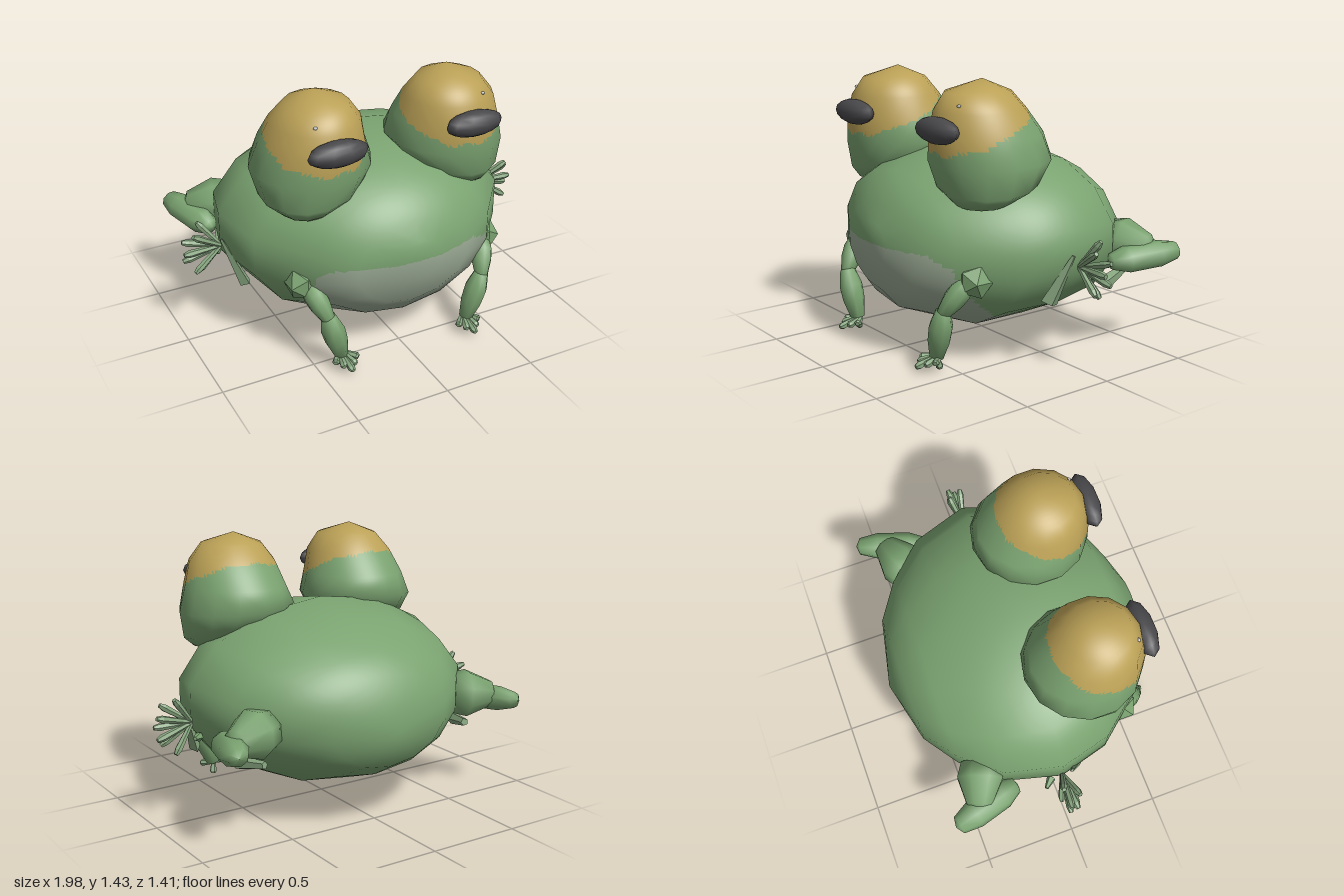
import * as THREE from 'three';
import { mergeVertices, mergeGeometries } from 'three/addons/utils/BufferGeometryUtils.js';

const mat = (color, extra = {}) => new THREE.MeshStandardMaterial({ color, ...extra });
const green = mat(0x7aa270);
const greenFlat = mat(0x7aa270, { flatShading: true });
const toeGreen = mat(0x86a57e, { flatShading: true });
const pale = mat(0x99a893);
const gold = mat(0xbaa056);
const dark = mat(0x48484b);
const shine = mat(0xcccccc);

const V = (x, y, z) => new THREE.Vector3(x, y, z);

function add(parent, name, geometry, material) {
  const mesh = new THREE.Mesh(geometry, material);
  mesh.name = name;
  parent.add(mesh);
  return mesh;
}

// Smooth skin over closed rings; point(ring, sin, cos) places each corner
function loft(rings, sides, point) {
  const pos = [], index = [];
  rings.forEach((ring, i) => {
    for (let j = 0; j < sides; j++) {
      const a = (j / sides) * Math.PI * 2;
      pos.push(...point(ring, Math.sin(a), Math.cos(a)));
      if (i === rings.length - 1) continue;
      const p = i * sides + j, q = i * sides + (j + 1) % sides;
      index.push(p, q, p + sides, q, q + sides, p + sides);
    }
  });
  const geo = new THREE.BufferGeometry();
  geo.setAttribute('position', new THREE.Float32BufferAttribute(pos, 3));
  geo.setIndex(index);
  const merged = mergeVertices(geo, 1e-4);
  merged.computeVertexNormals();
  return merged;
}

// Cut a surface into two colour regions, keeping its silhouette and normals
function splitByRule(geo, k, rule) {
  const flat = geo.toNonIndexed();
  const P = flat.attributes.position, N = flat.attributes.normal;
  const out = [{ p: [], n: [] }, { p: [], n: [] }];
  const mix = (attr, t, u, v) => V(0, 0, 0)
    .addScaledVector(V().fromBufferAttribute(attr, t), 1 - u - v)
    .addScaledVector(V().fromBufferAttribute(attr, t + 1), u)
    .addScaledVector(V().fromBufferAttribute(attr, t + 2), v);
  for (let t = 0; t < P.count; t += 3) {
    const emit = (...corners) => {
      const pts = corners.map(([u, v]) => mix(P, t, u / k, v / k));
      const mid = V(0, 0, 0).add(pts[0]).add(pts[1]).add(pts[2]).divideScalar(3);
      const side = out[rule(mid) ? 0 : 1];
      pts.forEach((p) => side.p.push(p.x, p.y, p.z));
      corners.forEach(([u, v]) => side.n.push(...mix(N, t, u / k, v / k).normalize().toArray()));
    };
    for (let u = 0; u < k; u++) for (let v = 0; u + v < k; v++) {
      emit([u, v], [u + 1, v], [u, v + 1]);
      if (u + v < k - 1) emit([u + 1, v], [u + 1, v + 1], [u, v + 1]);
    }
  }
  return out.map(({ p, n }) => {
    const g = new THREE.BufferGeometry();
    g.setAttribute('position', new THREE.Float32BufferAttribute(p, 3));
    g.setAttribute('normal', new THREE.Float32BufferAttribute(n, 3));
    return g;
  });
}

// Turned limb segment from a to b; profile is [radius, fraction] pairs
function limb(a, b, r, sides, profile, flatten = 1) {
  const dir = b.clone().sub(a), len = dir.length();
  const geo = new THREE.LatheGeometry(profile.map(([pr, t]) => new THREE.Vector2(pr * r, t * len)), sides);
  geo.scale(1, 1, flatten);
  geo.applyQuaternion(new THREE.Quaternion().setFromUnitVectors(V(0, 1, 0), dir.normalize()));
  return geo.translate(a.x, a.y, a.z);
}
const MUSCLE = [[0, 0], [0.65, 0.06], [1, 0.35], [0.95, 0.6], [0.6, 0.94], [0, 1]];
const TOE = [[0, 0], [0.6, 0], [1, 0.85], [0.6, 1], [0, 1]];

function ellipsoid(rx, ry, rz, x, y, z, w = 10, h = 8) {
  return new THREE.SphereGeometry(1, w, h).scale(rx, ry, rz).translate(x, y, z);
}

function buildSide() {
  const side = new THREE.Group();

  // Eye bulge: rings of [y, x, z, rx, rz, tilt]
  const eye = loft([
    [0.83, 0.43, 0.34, 0, 0, 0], [0.84, 0.43, 0.33, 0.15, 0.14, 0.1], [0.92, 0.4, 0.27, 0.26, 0.25, 0.12],
    [1.04, 0.38, 0.24, 0.31, 0.31, 0.04], [1.16, 0.38, 0.26, 0.265, 0.295, 0], [1.28, 0.375, 0.295, 0.23, 0.235, 0],
    [1.37, 0.37, 0.305, 0.16, 0.17, 0], [1.43, 0.37, 0.28, 0, 0, 0],
  ], 14, ([y, x, z, rx, rz, tilt], s, c) => [x + rx * s, y - tilt * (rx * s + rz * c), z + rz * c]);
  const [ball, lid] = splitByRule(eye, 6, (p) => p.y > 1.08 + (0.55 - p.z) * 0.42 + 0.008 * Math.sin(p.x * 40));
  add(side, 'eyeball', ball, gold);
  add(side, 'eyelid', lid, green);
  add(side, 'pupil', ellipsoid(0.16, 0.066, 0.066, 0.375, 1.2, 0.552), dark);
  add(side, 'eyeHighlight', ellipsoid(0.012, 0.008, 0.01, 0.46, 1.32, 0.485, 6, 4), shine);

  // Front leg
  const shoulder = new THREE.IcosahedronGeometry(0.1, 0).scale(0.9, 0.95, 0.95).translate(0.53, 0.475, 0.44);
  add(side, 'frontShoulder', shoulder, greenFlat);
  add(side, 'frontUpperLeg', limb(V(0.52, 0.49, 0.46), V(0.445, 0.3, 0.59), 0.058, 8, MUSCLE), green);
  add(side, 'frontLowerLeg', limb(V(0.455, 0.34, 0.58), V(0.37, 0.05, 0.565), 0.062, 8, MUSCLE), green);
  const frontToes = [];
  for (let i = 0; i < 5; i++) {
    const t = i / 2 - 1;
    frontToes.push(limb(V(0.37 + t * 0.025, 0.065, 0.565),
      V(0.365 + t * 0.065, 0.035 + 0.02 * Math.abs(t), 0.685 - 0.07 * Math.abs(t)), 0.02, 6, TOE));
  }
  frontToes.push(limb(V(0.37, 0.075, 0.57), V(0.385, 0.002, 0.55), 0.02, 5, TOE));
  add(side, 'frontToes', mergeGeometries(frontToes), toeGreen);

  // Side foot: a fan of toes with a webbed heel
  const fan = [];
  for (let i = 0; i < 7; i++) {
    const a = (i / 6 - 0.5) * 2.1;
    const reach = 0.205 - 0.01 * (i % 2);
    fan.push(limb(V(0.785, 0.525, 0), V(0.795 + reach * Math.cos(a), 0.525 + 0.165 * Math.sin(a),
      (i % 2 ? 0.035 : -0.03) * (0.4 + Math.abs(Math.sin(a)))), 0.02, 6, TOE));
  }
  add(side, 'sideToes', mergeGeometries(fan), toeGreen);
  const web = limb(V(0.8, 0.59, 0.05), V(0.71, 0.345, 0.125), 0.05, 4, [[0, 0], [0.25, 0], [1, 1], [0, 1]], 0.6);
  add(side, 'sideHeel', web, toeGreen);
  add(side, 'sideSpur', limb(V(0.77, 0.46, -0.05), V(0.82, 0.47, -0.1), 0.025, 5, [[0, 0], [1, 0.1], [0.4, 1], [0, 1]]), greenFlat);

  // Hind leg
  const thigh = limb(V(0.56, 0.56, -0.38), V(0.82, 0.54, -0.48), 0.13, 8, [[0, 0], [0.85, 0.1], [1, 0.4], [0.55, 0.9], [0, 1]]);
  add(side, 'hindThigh', thigh, green);
  add(side, 'hindShin', limb(V(0.745, 0.495, -0.24), V(0.86, 0.525, -0.625), 0.078, 8,
    [[0, 0], [0.6, 0.03], [1, 0.25], [1, 0.7], [0.65, 0.95], [0, 1]], 0.85), green);
  add(side, 'hindFoot', limb(V(0.63, 0.4, -0.46), V(0.69, 0.37, -0.27), 0.035, 5, TOE), toeGreen);
  return side;
}

export function createModel() {
  const frog = new THREE.Group();
  frog.name = 'frog';

  // Body: rings of [z, top, bottom, half width], split into back and belly
  const body = loft([
    [0.7, 0.6, 0.6, 0], [0.695, 0.7, 0.48, 0.13], [0.64, 0.79, 0.33, 0.32], [0.54, 0.95, 0.22, 0.51],
    [0.28, 1.04, 0.115, 0.73], [0, 1.09, 0.125, 0.81], [-0.3, 1.0, 0.165, 0.725],
    [-0.5, 0.9, 0.24, 0.54], [-0.63, 0.79, 0.32, 0.35], [-0.71, 0.52, 0.52, 0],
  ], 14, ([z, top, bottom, rx], s, c) => [rx * s, (top + bottom) / 2 + (top - bottom) / 2 * c, z]);
  const [belly, back] = splitByRule(body, 9, ({ x, y, z }) =>
    y < 0.59 && y < 0.58 - (0.6 - z) * 0.7 + 0.012 * Math.sin(x * 25) && Math.abs(x) < 0.5 + 0.01 * Math.sin(y * 45));
  add(frog, 'back', back, green);
  add(frog, 'belly', belly, pale);

  // Mouth: a flat sliver bent around the face
  const mouth = new THREE.SphereGeometry(1, 16, 8).scale(0.37, 0.024, 0.05);
  const p = mouth.attributes.position;
  for (let i = 0; i < p.count; i++) {
    const x = p.getX(i);
    p.setY(i, 0.602 + Math.max(p.getY(i), -0.016));
    p.setZ(i, p.getZ(i) + 0.64 - 0.55 * x * x);
  }
  mouth.computeVertexNormals();
  add(frog, 'mouth', mouth, dark);

  // Eyes and legs, mirrored
  const left = buildSide();
  left.name = 'leftSide';
  const right = left.clone();
  right.name = 'rightSide';
  right.scale.x = -1;
  frog.add(left, right);
  return frog;
}
